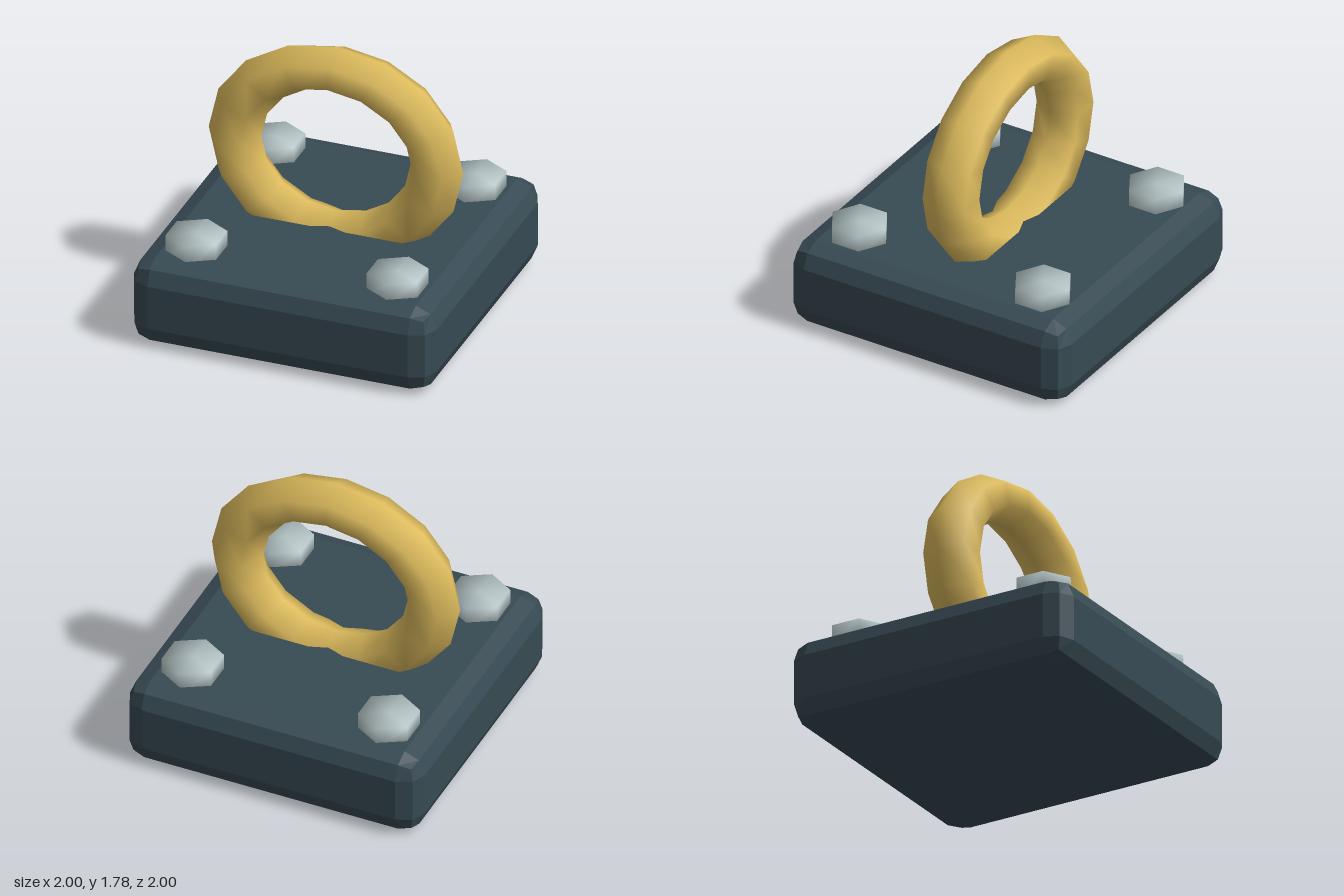
import * as THREE from 'three';
import { mergeVertices } from 'three/addons/utils/BufferGeometryUtils.js';
import { RoundedBoxGeometry } from 'three/addons/geometries/RoundedBoxGeometry.js';

function material(name, color) {
  const m = new THREE.MeshStandardMaterial({ color });
  m.name = name;
  return m;
}

// Welds all shared corners so the shading runs smoothly over every edge
function softened(geometry) {
  geometry.deleteAttribute('normal');
  geometry.deleteAttribute('uv');
  const welded = mergeVertices(geometry);
  welded.computeVertexNormals();
  return welded;
}

export function createModel() {
  const slate = material('slate', 0x374a53);
  const gold = material('gold', 0xdcba5c);
  const steel = material('steel', 0xb0bfc1);

  const model = new THREE.Group();
  model.name = 'ringBoltPlate';
  const add = (name, geometry, mat, x, y, z) => {
    const mesh = new THREE.Mesh(geometry, mat);
    mesh.name = name;
    mesh.position.set(x, y, z);
    model.add(mesh);
    return mesh;
  };

  // Base plate with two-step faceted bevels
  const plate = new RoundedBoxGeometry(2, 0.575, 2, 1, 0.14);
  plate.computeVertexNormals();
  add('basePlate', plate, slate, 0, 0.2875, 0);

  // Wide ring, its lower part sunk into the plate
  const ring = new THREE.TorusGeometry(0.575, 0.15, 6, 16);
  ring.scale(1.16, 1, 1.17);
  add('ring', softened(ring), gold, 0, 1.055, 0);

  // Hexagonal bolt heads at the four corners
  const bolt = softened(new THREE.CylinderGeometry(0.193, 0.193, 0.15, 6));
  for (const [side, x] of [['Left', 0.665], ['Right', -0.665]]) {
    for (const [end, z] of [['front', 0.665], ['back', -0.665]]) {
      add(`${end}${side}Bolt`, bolt, steel, x, 0.605, z);
    }
  }
  return model;
}
